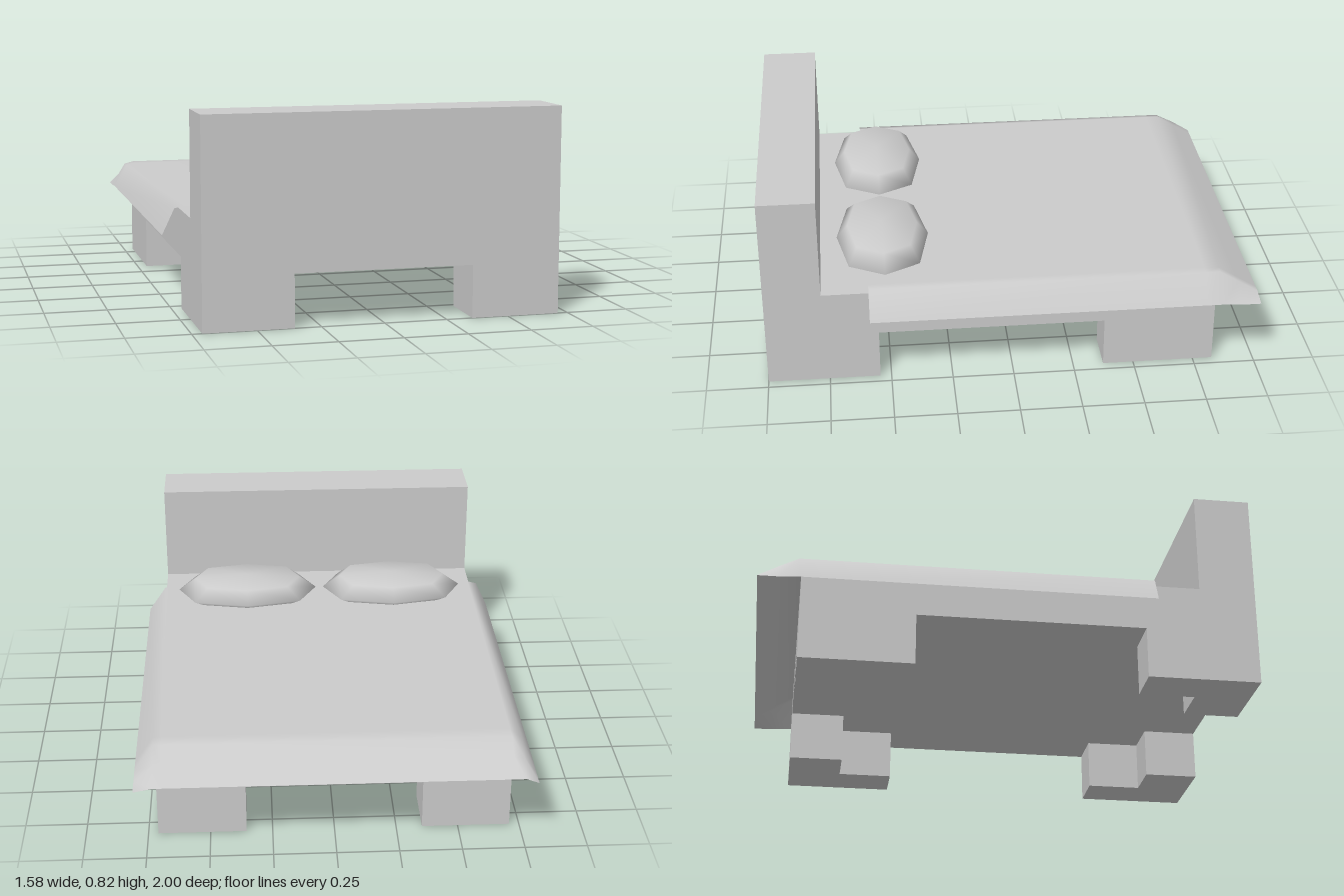
import * as THREE from 'three';
import { mergeVertices } from 'three/addons/utils/BufferGeometryUtils.js';

const material = new THREE.MeshStandardMaterial({ color: 0xcccccc });
const clothMaterial = new THREE.MeshStandardMaterial({ color: 0xcccccc, side: THREE.DoubleSide });

function part(name, geometry, mat = material) {
  const mesh = new THREE.Mesh(geometry, mat);
  mesh.name = name;
  return mesh;
}

function extrude(points, depth) {
  const shape = new THREE.Shape(points.map(([x, y]) => new THREE.Vector2(x, y)));
  return new THREE.ExtrudeGeometry(shape, { depth, bevelEnabled: false });
}

// Base and headboard: one side profile (z, y) pulled across the width
function frameGeometry() {
  const profile = [[-0.83, 0.21], [1, 0.21], [1, 0.82], [0.77, 0.82], [0.77, 0.4], [-0.83, 0.4]];
  return extrude(profile, 1.42).rotateY(-Math.PI / 2).translate(0.71, 0, 0);
}

// L-shaped corner leg, notched on its inner corner
function legGeometry(side, zOuter, zInner) {
  const xOuter = side * 0.71, xInner = side * 0.355;
  const xMid = (xOuter + xInner) / 2, zMid = (zOuter + zInner) / 2;
  const plan = [
    [xOuter, zOuter], [xInner, zOuter], [xInner, zMid],
    [xMid, zMid], [xMid, zInner], [xOuter, zInner],
  ];
  return extrude(plan, 0.21).rotateX(Math.PI / 2).translate(0, 0.21, 0);
}

// Blanket: an open sheet that drops at both sides and at the foot
function blanketGeometry() {
  const across = [[-0.79, 0.305], [-0.74, 0.41], [-0.7, 0.42], [0.68, 0.42], [0.715, 0.42], [0.79, 0.31]];
  const along = [[0.58, 0.42], [-0.78, 0.42], [-0.84, 0.42], [-0.92, 0.37], [-1, 0.32]];
  const positions = [], index = [];
  const n = across.length;
  along.forEach(([z, footY], i) => {
    across.forEach(([x, sideY], j) => {
      const corner = i > 2 && (j === 0 || j === n - 1) ? 0.005 : 0;
      positions.push(x, Math.min(sideY, footY) - corner, z);
      if (i < along.length - 1 && j < n - 1) {
        const a = i * n + j, b = a + 1, c = a + n, d = c + 1;
        index.push(a, b, c, b, d, c);
      }
    });
  });
  const geometry = new THREE.BufferGeometry();
  geometry.setAttribute('position', new THREE.Float32BufferAttribute(positions, 3));
  geometry.setIndex(index);
  geometry.computeVertexNormals();
  return geometry;
}

// Pillow: eight-sided lathe, stretched in x and squared a little on the diagonals
function pillowGeometry() {
  const profile = [[0, 0.395], [0.75, 0.405], [1, 0.443], [0.76, 0.498], [0, 0.515]];
  let geometry = new THREE.LatheGeometry(profile.map(([r, y]) => new THREE.Vector2(r, y)), 8);
  geometry.deleteAttribute('uv');
  geometry.deleteAttribute('normal');
  const p = geometry.attributes.position;
  for (let i = 0; i < p.count; i++) {
    const x = p.getX(i), z = p.getZ(i);
    const bulge = Math.abs(x * z) > 1e-4 ? 1.07 : 1;
    p.setX(i, x * bulge * 0.315);
    p.setZ(i, z * bulge * 0.19);
  }
  geometry = mergeVertices(geometry, 1e-4);
  geometry.computeVertexNormals();
  return geometry;
}

export function createModel() {
  const bed = new THREE.Group();
  bed.name = 'bed';
  bed.add(part('frameAndHeadboard', frameGeometry()));
  bed.add(part('blanket', blanketGeometry(), clothMaterial));

  for (const side of [-1, 1]) {
    const label = side > 0 ? 'left' : 'right';
    bed.add(part(`${label}HeadLeg`, legGeometry(side, 1, 0.545)));
    bed.add(part(`${label}FootLeg`, legGeometry(side, -0.83, -0.375)));

    const pillow = part(`${label}Pillow`, pillowGeometry());
    pillow.position.set(side * 0.332, 0, 0.51);
    bed.add(pillow);
  }
  return bed;
}
